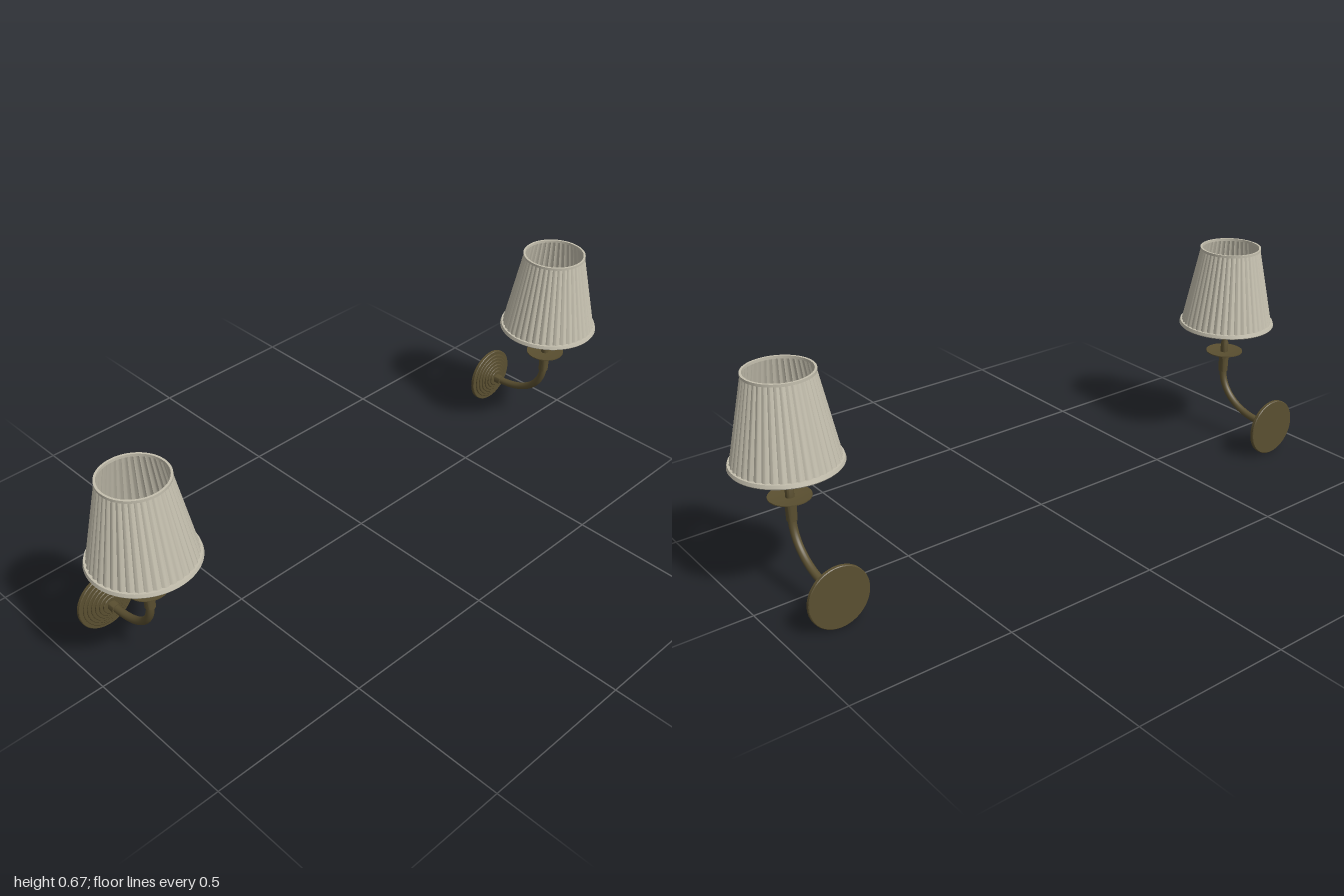
import * as THREE from 'three';
import { toCreasedNormals } from 'three/addons/utils/BufferGeometryUtils.js';

const AXIS_Z = 0.04;   // vertical axis of holder and shade
const PLATE_Y = 0.094; // height of the wall plate centre

const bronze = new THREE.MeshStandardMaterial({ color: 0x5a4f30 });
const fabric = new THREE.MeshStandardMaterial({ color: 0xc4bfae, side: THREE.DoubleSide });

function mesh(name, geometry, material) {
  const m = new THREE.Mesh(geometry, material);
  m.name = name;
  return m;
}

// Profile of [radius, height] pairs, running upward on the outside
function turned(points, segments = 48) {
  const profile = points.map(([r, y]) => new THREE.Vector2(r, y));
  return toCreasedNormals(new THREE.LatheGeometry(profile, segments), 0.6);
}

// Cone whose wall bulges outward in rounded pleats
function pleatedShell(rTop, rBottom, y0, y1, pleats, depth) {
  const g = new THREE.CylinderGeometry(rTop, rBottom, y1 - y0, pleats * 8, 1, true);
  const p = g.attributes.position;
  for (let i = 0; i < p.count; i++) {
    const x = p.getX(i), z = p.getZ(i), r = Math.hypot(x, z);
    const bulge = Math.abs(Math.sin(Math.atan2(x, z) * pleats / 2));
    const k = (r - depth * (1 - bulge) * r / rBottom) / r;
    p.setXYZ(i, x * k, p.getY(i) + (y0 + y1) / 2, z * k);
  }
  return toCreasedNormals(g, 0.5);
}

function createSconce() {
  const sconce = new THREE.Group();
  sconce.name = 'wallLamp';

  // Stepped wall plate with the arm collar
  const plate = [[0, 0], [0.092, 0], [0.094, 0.002], [0.094, 0.011], [0.092, 0.013]];
  for (let i = 0; i < 6; i++) {
    const r = 0.081 - i * 0.0105, z = 0.013 + i * 0.0045;
    plate.push([r, z], [r, z + 0.003], [r - 0.002, z + 0.0045]);
  }
  plate.push([0.0155, 0.04], [0.0155, 0.063], [0, 0.063]);
  const wallPlate = mesh('wallPlate', turned(plate, 64).rotateX(Math.PI / 2), bronze);
  wallPlate.position.set(0, PLATE_Y, -0.2);
  sconce.add(wallPlate);

  // Curved arm
  const path = new THREE.CubicBezierCurve3(
    new THREE.Vector3(0, PLATE_Y + 0.001, -0.145),
    new THREE.Vector3(0, PLATE_Y + 0.001, -0.04),
    new THREE.Vector3(0, 0.15, AXIS_Z),
    new THREE.Vector3(0, 0.235, AXIS_Z));
  sconce.add(mesh('arm', new THREE.TubeGeometry(path, 40, 0.012, 20), bronze));

  const upright = new THREE.Group();
  upright.name = 'upright';
  upright.position.z = AXIS_Z;
  sconce.add(upright);

  // Sleeve and drip dish
  upright.add(mesh('sleeve', turned([
    [0, 0.225], [0.0155, 0.225], [0.0165, 0.278], [0.022, 0.278], [0.022, 0.286], [0, 0.286],
  ]), bronze));
  upright.add(mesh('dripDish', turned([
    [0, 0.285], [0.025, 0.285], [0.045, 0.291], [0.0615, 0.298], [0.0615, 0.301],
    [0.045, 0.299], [0.02, 0.297], [0, 0.297],
  ], 64), bronze));

  // Stem, lamp holder cup and inner candle tube
  upright.add(mesh('stem', turned([
    [0, 0.296], [0.0125, 0.296], [0.0125, 0.33], [0.008, 0.342], [0.008, 0.346],
    [0.011, 0.346], [0.011, 0.351], [0.012, 0.368], [0.015, 0.373], [0, 0.373],
  ]), bronze));
  upright.add(mesh('holderCup', turned([
    [0, 0.37], [0.018, 0.37], [0.025, 0.375], [0.028, 0.385], [0.037, 0.386],
    [0.0375, 0.401], [0.026, 0.403], [0, 0.403],
  ]), bronze));
  upright.add(mesh('candleTube', turned([
    [0, 0.4], [0.019, 0.4], [0.019, 0.52], [0.016, 0.524], [0.006, 0.524], [0.005, 0.53], [0, 0.53],
  ], 32), bronze));

  // Pleated shade with its two trim bands
  const shade = new THREE.Group();
  shade.name = 'shade';
  shade.add(mesh('pleatedFabric', pleatedShell(0.0985, 0.152, 0.408, 0.667, 40, 0.005), fabric));
  shade.add(mesh('bottomTrim', turned([
    [0.147, 0.401], [0.157, 0.4], [0.159, 0.403], [0.156, 0.413], [0.147, 0.413], [0.147, 0.401],
  ], 80), fabric));
  shade.add(mesh('topTrim', turned([
    [0.094, 0.663], [0.1005, 0.663], [0.1005, 0.671], [0.094, 0.671], [0.094, 0.663],
  ], 80), fabric));
  upright.add(shade);
  return sconce;
}

export function createModel() {
  const model = new THREE.Group();
  model.name = 'wallLampPair';
  for (const side of [-1, 1]) {
    const sconce = createSconce();
    sconce.name = side > 0 ? 'leftWallLamp' : 'rightWallLamp';
    sconce.position.x = side * 0.841;
    model.add(sconce);
  }
  return model;
}
